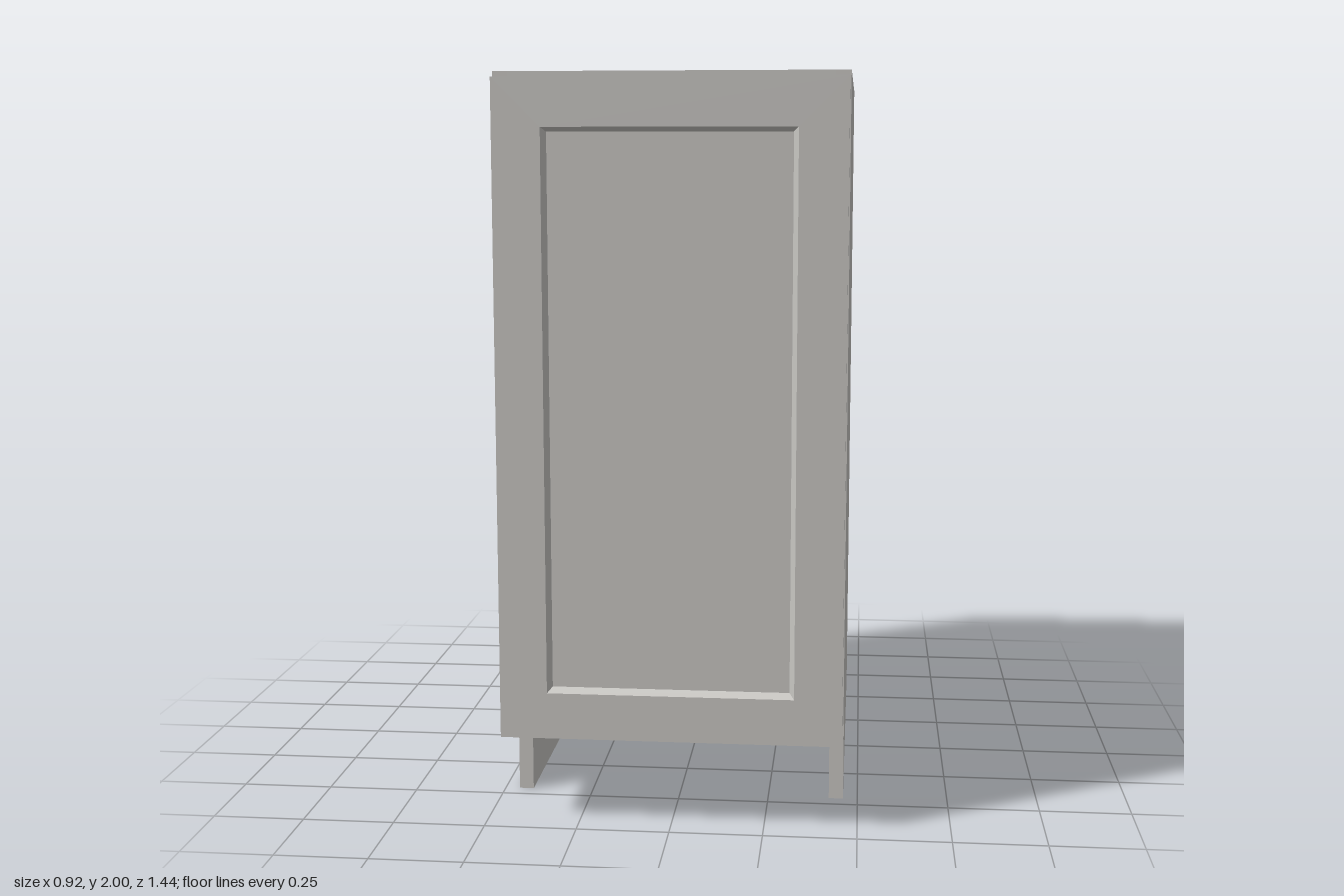
import * as THREE from 'three';

const W = 0.46, T = 0.04, BACK = -0.72, FACE = 0.675, FRONT = 0.72, FLOOR = 0.24;

export function createModel() {
  const group = new THREE.Group();
  const paint = new THREE.MeshStandardMaterial({ color: 0xc8c6c2 });
  paint.name = 'warm grey paint';

  const add = (name, geometry) => {
    const mesh = new THREE.Mesh(geometry, paint);
    mesh.name = name;
    group.add(mesh);
    return mesh;
  };
  // Box given by its limits on each axis
  const box = (name, x0, x1, y0, y1, z0, z1) =>
    add(name, new THREE.BoxGeometry(x1 - x0, y1 - y0, z1 - z0))
      .position.set((x0 + x1) / 2, (y0 + y1) / 2, (z0 + z1) / 2);
  const inner = W - T;
  const across = (name, y0, y1, z0, z1) => box(name, -inner, inner, y0, y1, z0, z1);

  // Side panels, notched at the front foot for the toe space
  const profile = new THREE.Shape([
    [BACK, 0], [0.455, 0], [0.455, FLOOR], [FACE, FLOOR], [FACE, 2], [BACK, 2],
  ].map(([z, y]) => new THREE.Vector2(-z, y)));
  for (const [name, x] of [['rightSide', -W], ['leftSide', inner]]) {
    const side = add(name, new THREE.ExtrudeGeometry(profile, { depth: T, bevelEnabled: false }));
    side.rotation.y = Math.PI / 2;
    side.position.x = x;
  }

  // Carcass: floor, shelf, top stretchers, back panel and back rails
  across('floorPanel', FLOOR, FLOOR + T, BACK, FACE);
  across('shelf', 1.39, 1.43, -0.635, FACE);
  across('frontStretcher', 2 - T, 2, 0.44, FACE);
  across('backStretcher', 2 - T, 2, BACK, -0.49);
  across('backPanel', FLOOR + T, 2 - T, -0.675, -0.635);
  across('upperBackRail', 1.8, 2 - T, BACK, -0.675);
  across('lowerBackRail', FLOOR + T, 0.415, BACK, -0.675);

  // Door frame with a rectangular opening
  const rect = (x, y0, y1) => [[-x, y0], [x, y0], [x, y1], [-x, y1]];
  const points = (corners) => corners.map(([x, y]) => new THREE.Vector2(x, y));
  const opening = rect(0.33, 0.365, 1.858);
  const frame = new THREE.Shape(points(rect(0.457, FLOOR, 1.985)));
  frame.holes.push(new THREE.Path(points(opening)));
  add('doorFrame', new THREE.ExtrudeGeometry(frame, { depth: FRONT - FACE, bevelEnabled: false }))
    .position.z = FACE;

  // Recessed centre panel and the sloped moulding around it
  const recess = FRONT - 0.018;
  box('doorPanel', -0.33, 0.33, 0.365, 1.858, FACE, recess);
  const inset = rect(0.317, 0.379, 1.846);
  const verts = [];
  for (let i = 0; i < 4; i++) {
    const j = (i + 1) % 4;
    const a = [...opening[i], FRONT], b = [...opening[j], FRONT];
    const c = [...inset[j], recess], d = [...inset[i], recess];
    verts.push(...a, ...b, ...c, ...a, ...c, ...d);
  }
  const moulding = new THREE.BufferGeometry();
  moulding.setAttribute('position', new THREE.Float32BufferAttribute(verts, 3));
  moulding.computeVertexNormals();
  add('doorMoulding', moulding);

  return group;
}
